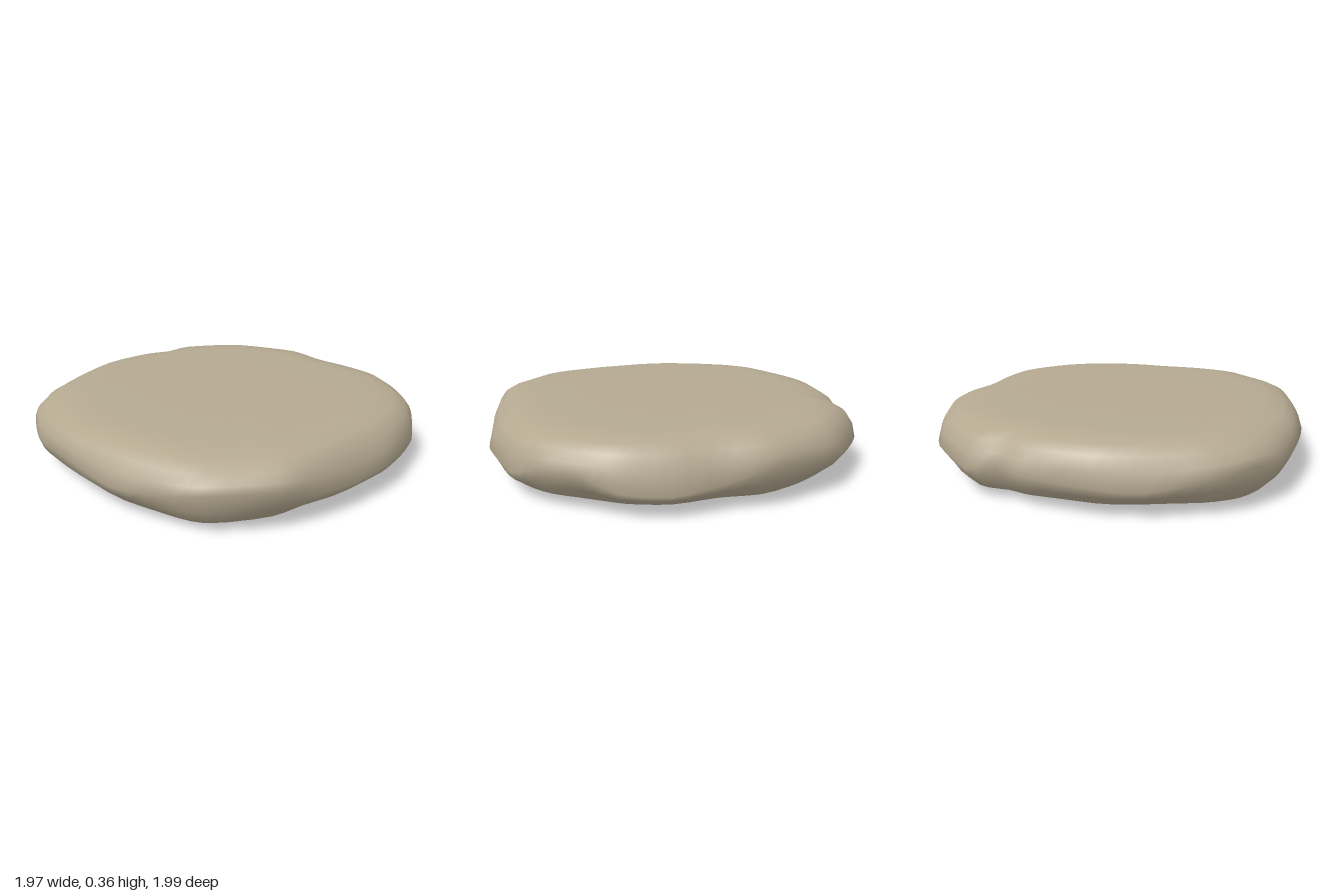
import * as THREE from 'three';

// Widest outline of the stone: x, height of the side ridge, z
const OUTLINE = [
  [0.985, 0.21, -0.23], [0.97, 0.15, 0], [0.98, 0.12, 0.24], [0.93, 0.14, 0.47],
  [0.84, 0.20, 0.63], [0.70, 0.20, 0.80], [0.52, 0.14, 0.91], [0.30, 0.15, 0.97],
  [0.13, 0.15, 0.995], [-0.17, 0.15, 0.97], [-0.38, 0.17, 0.93], [-0.57, 0.23, 0.88],
  [-0.83, 0.23, 0.66], [-0.92, 0.20, 0.47], [-0.985, 0.17, 0.2], [-0.98, 0.20, -0.2],
  [-0.92, 0.18, -0.5], [-0.81, 0.23, -0.7], [-0.65, 0.20, -0.84], [-0.38, 0.15, -0.95],
  [-0.15, 0.16, -0.995], [0.2, 0.18, -0.985], [0.34, 0.2, -0.94], [0.52, 0.16, -0.92],
  [0.80, 0.17, -0.68], [0.90, 0.19, -0.5],
];

// Cross-section from underside to top: scale, height, pull towards the ridge, unevenness
const RINGS = [
  [0.45, 0.008, 0, 0], [0.76, 0.014, 0, 0.01], [0.83, 0.024, 0, 0.02], [0.91, 0.055, 0, 0.02],
  [0.972, 0.075, 0.4, 0.012], [1, 0, 1, 0], [0.985, 0.3, 0.45, 0.008], [0.95, 0.31, 0.06, 0.015],
  [0.89, 0.338, 0, 0.02], [0.80, 0.355, 0, 0.02], [0.70, 0.36, 0, 0.01], [0.40, 0.361, 0, 0],
];

const SEGMENTS = 78;

function stoneGeometry() {
  const curve = new THREE.CatmullRomCurve3(
    OUTLINE.map(p => new THREE.Vector3(...p)), true, 'catmullrom', 0.35);
  const positions = [0, 0.003, 0];
  const index = [];

  RINGS.forEach(([scale, height, pull, rough], i) => {
    for (let j = 0; j < SEGMENTS; j++) {
      const p = curve.getPoint(j / SEGMENTS);
      const a = Math.atan2(p.z, p.x);
      // Broad worn dents that drift around the rim
      const dent = Math.sin(5 * a + 0.5 * i) * 0.6 + Math.sin(9 * a - 0.4 * i) * 0.4;
      const s = scale + rough * dent;
      positions.push(p.x * s, THREE.MathUtils.lerp(height, p.y, pull), p.z * s);
    }
  });
  const top = positions.length / 3;
  positions.push(0, 0.362, 0);

  // Sides between rings, then the two closing fans
  const at = (i, j) => 1 + i * SEGMENTS + (j % SEGMENTS);
  const last = RINGS.length - 1;
  for (let j = 0; j < SEGMENTS; j++) {
    for (let i = 0; i < last; i++) {
      const a = at(i, j), b = at(i + 1, j), c = at(i + 1, j + 1), d = at(i, j + 1);
      index.push(a, b, d, b, c, d);
    }
    index.push(0, at(0, j), at(0, j + 1));
    index.push(top, at(last, j + 1), at(last, j));
  }

  const geometry = new THREE.BufferGeometry();
  geometry.setAttribute('position', new THREE.Float32BufferAttribute(positions, 3));
  geometry.setIndex(index);
  geometry.computeVertexNormals();
  return geometry;
}

export function createModel() {
  const group = new THREE.Group();
  group.name = 'flatStone';
  const sandstone = new THREE.MeshStandardMaterial({ color: 0xb5a991 });
  sandstone.name = 'sandstone';
  const stone = new THREE.Mesh(stoneGeometry(), sandstone);
  stone.name = 'stone';
  group.add(stone);
  return group;
}
